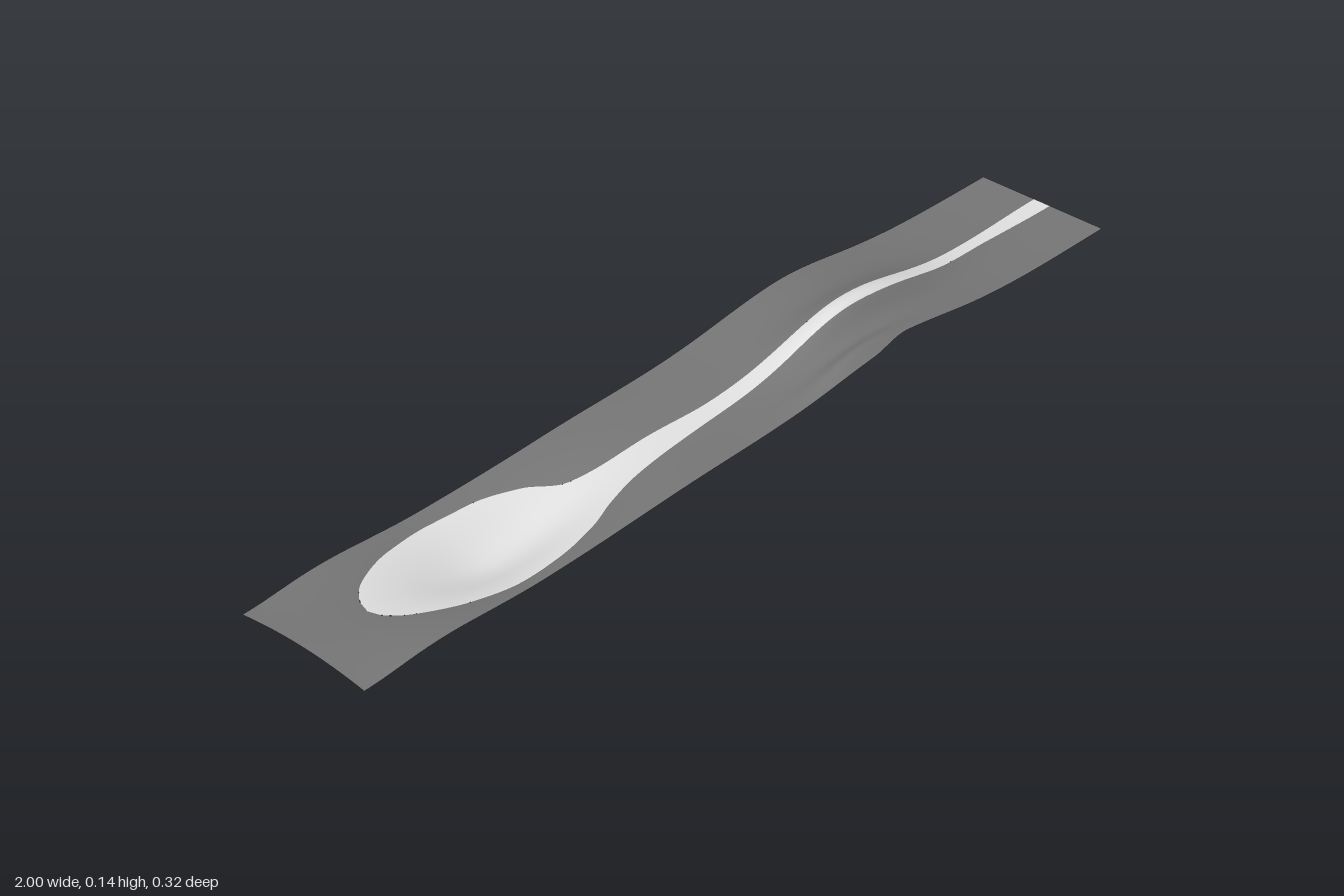
import * as THREE from 'three';

// Outline stations: x, back edge of spoon, front edge of spoon
const SPOON = [
  [-1, 0, 0], [-0.855, 0, 0], [-0.845, -0.03, 0.026], [-0.8, -0.074, 0.062], [-0.7, -0.114, 0.1],
  [-0.6, -0.128, 0.113], [-0.5, -0.122, 0.108], [-0.4, -0.09, 0.09], [-0.33, -0.042, 0.066],
  [-0.25, -0.023, 0.05], [-0.15, -0.015, 0.044], [0, 0, 0.04], [0.2, 0.004, 0.04],
  [0.4, 0.01, 0.044], [0.6, -0.003, 0.031], [0.8, -0.015, 0.014], [1, -0.022, 0.018],
];
// Outline stations: x, back edge of sheet, front edge of sheet
const SHEET = [
  [-1, -0.156, 0.15], [-0.75, -0.16, 0.146], [-0.55, -0.166, 0.139], [-0.3, -0.158, 0.146],
  [0, -0.154, 0.15], [0.28, -0.156, 0.158], [0.4, -0.158, 0.145], [0.6, -0.155, 0.15], [1, -0.155, 0.15],
];

const bell = (v, centre, low, high = low) =>
  Math.exp(-(((v - centre) / (v < centre ? low : high)) ** 2));

// Smooth interpolation through a station table
function sample(table, x, col) {
  let i = 0;
  while (i < table.length - 2 && x > table[i + 1][0]) i++;
  const slope = (k) => {
    if (k === 0 || k === table.length - 1) return 0;
    const l = (table[k][col] - table[k - 1][col]) / (table[k][0] - table[k - 1][0]);
    const r = (table[k + 1][col] - table[k][col]) / (table[k + 1][0] - table[k][0]);
    return l * r <= 0 ? 0 : (2 * l * r) / (l + r);
  };
  const [a, b] = [table[i], table[i + 1]];
  const h = b[0] - a[0], t = (x - a[0]) / h, u = 1 - t;
  return a[col] * (1 + 2 * t) * u * u + b[col] * t * t * (3 - 2 * t)
    + h * t * u * (slope(i) * u - slope(i + 1) * t);
}

// Height of the sheet: a bowl-shaped hollow, a lifted hump, a lengthwise ridge and a front lip
function height(x, z) {
  const base = 0.068 - 0.005 * x;
  const hollow = 0.0708 * bell(x, -0.56, 0.19, 0.26) * (0.28 + 0.72 * bell(z, -0.01, 0.09));
  const hump = 0.035 * bell(x, 0.37, 0.24, 0.24);
  const ridge = 0.043 * bell(x, 0.36, 0.19, 0.24) * bell(z, 0.03, 0.065, 0.042);
  const lip = 0.02 * bell(x, 0.26, 0.13) * bell(z, 0.13, 0.025);
  const arch = -0.012 * bell(x, -1, 0.12) * (z / 0.15) ** 2;
  return base - hollow + hump + ridge + lip + arch;
}

// Ribbon over the height field between two edge functions of x
function ribbon(name, material, back, front, cols, x0) {
  const rows = 220, pos = [], nor = [], index = [], e = 0.002;
  const n = new THREE.Vector3();
  for (let i = 0; i <= rows; i++) {
    const x = x0 + ((1 - x0) * i) / rows;
    for (let j = 0; j <= cols; j++) {
      const z = THREE.MathUtils.lerp(back(x), front(x), j / cols);
      pos.push(x, height(x, z), z);
      n.set((height(x - e, z) - height(x + e, z)) / (2 * e), 1,
        (height(x, z - e) - height(x, z + e)) / (2 * e)).normalize();
      nor.push(n.x, n.y, n.z);
      if (i < rows && j < cols) {
        const a = i * (cols + 1) + j, c = a + cols + 1;
        index.push(a, a + 1, c, a + 1, c + 1, c);
      }
    }
  }
  const geo = new THREE.BufferGeometry();
  geo.setAttribute('position', new THREE.Float32BufferAttribute(pos, 3));
  geo.setAttribute('normal', new THREE.Float32BufferAttribute(nor, 3));
  geo.setIndex(index);
  const mesh = new THREE.Mesh(geo, material);
  mesh.name = name;
  return mesh;
}

export function createModel() {
  const group = new THREE.Group();
  group.name = 'spoonSheet';
  const sheet = new THREE.MeshStandardMaterial({ color: 0x757575, side: THREE.DoubleSide });
  sheet.name = 'sheet grey';
  const metal = new THREE.MeshStandardMaterial({ color: 0xe0e0e0, side: THREE.DoubleSide });
  metal.name = 'spoon light grey';

  const edge = (table, col) => (x) => sample(table, x, col);
  group.add(
    ribbon('sheetBack', sheet, edge(SHEET, 1), edge(SPOON, 1), 14, -1),
    ribbon('spoon', metal, edge(SPOON, 1), edge(SPOON, 2), 14, -0.855),
    ribbon('sheetFront', sheet, edge(SPOON, 2), edge(SHEET, 2), 14, -1),
  );
  return group;
}
